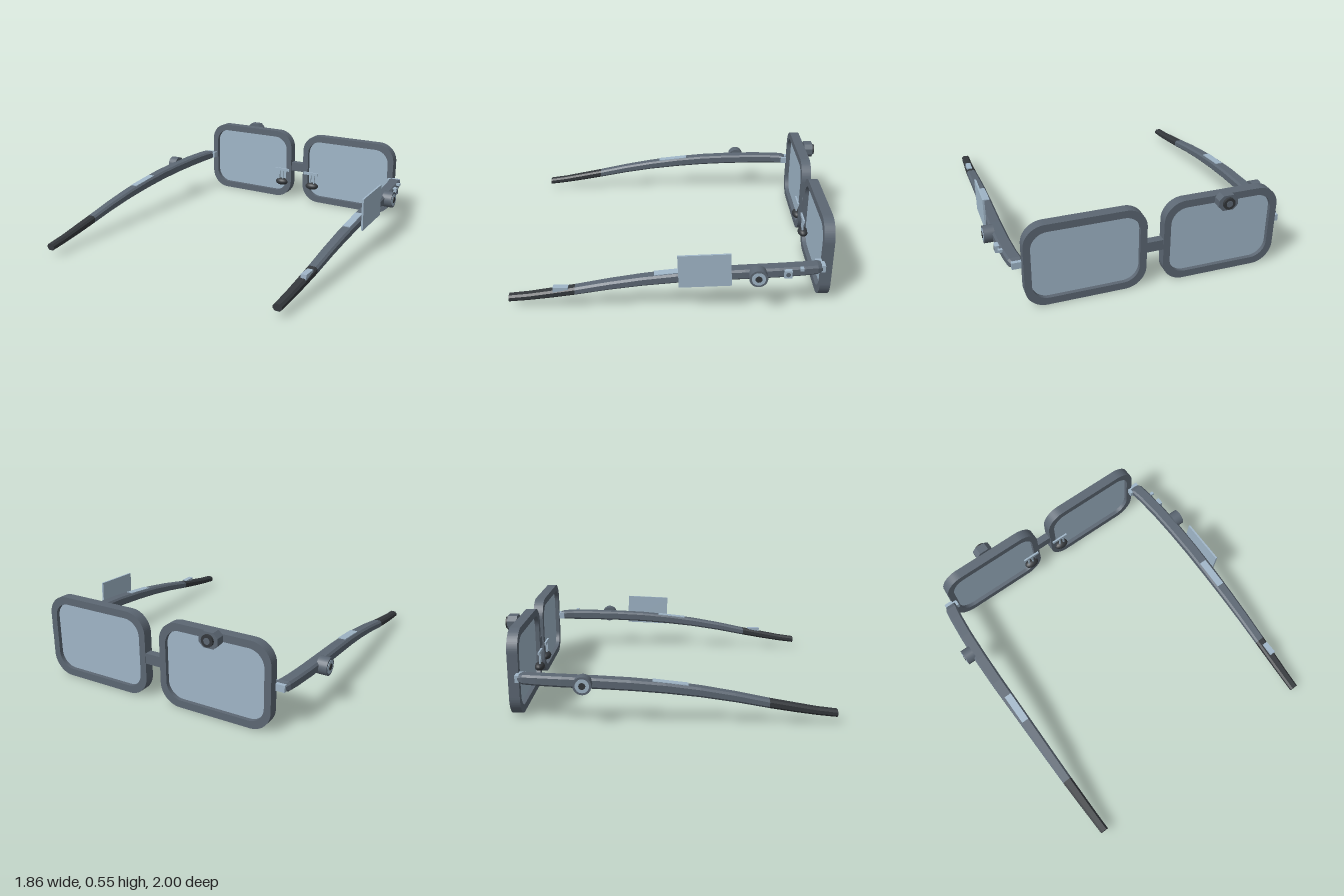
import * as THREE from 'three';

const material = (name, color) => {
  const m = new THREE.MeshStandardMaterial({ color });
  m.name = name;
  return m;
};

// Rounded rectangle outline, used for rims and lenses
function roundedRect(target, x0, y0, x1, y1, r) {
  target.moveTo(x0 + r, y0);
  target.lineTo(x1 - r, y0);
  target.absarc(x1 - r, y0 + r, r, -Math.PI / 2, 0, false);
  target.lineTo(x1, y1 - r);
  target.absarc(x1 - r, y1 - r, r, 0, Math.PI / 2, false);
  target.lineTo(x0 + r, y1);
  target.absarc(x0 + r, y1 - r, r, Math.PI / 2, Math.PI, false);
  target.lineTo(x0, y0 + r);
  target.absarc(x0 + r, y0 + r, r, Math.PI, Math.PI * 1.5, false);
  return target;
}

// Lofts chamfered rectangles along z; each section is [z, x, halfWidth, y, halfHeight]
function loft(sections, side) {
  const rings = sections.map(([z, x, w, y, h]) => {
    const c = 0.012;
    return [
      [w, -h + c], [w, h - c], [w - c, h], [-w + c, h],
      [-w, h - c], [-w, -h + c], [-w + c, -h], [w - c, -h],
    ].map(([dx, dy]) => [side * x + dx, y + dy, z]);
  });
  const out = [];
  const tri = (...points) => points.forEach((p) => out.push(...p));
  for (let i = 0; i < rings.length - 1; i++) {
    for (let j = 0; j < 8; j++) {
      const k = (j + 1) % 8;
      tri(rings[i][j], rings[i][k], rings[i + 1][k]);
      tri(rings[i][j], rings[i + 1][k], rings[i + 1][j]);
    }
  }
  const first = rings[0], last = rings[rings.length - 1];
  for (let j = 1; j < 7; j++) {
    tri(first[0], first[j + 1], first[j]);
    tri(last[0], last[j], last[j + 1]);
  }
  const g = new THREE.BufferGeometry();
  g.setAttribute('position', new THREE.Float32BufferAttribute(out, 3));
  g.computeVertexNormals();
  return g;
}

export function createModel() {
  const model = new THREE.Group();
  model.name = 'smartGlasses';
  const slate = material('slate grey', 0x5c6773);
  const dark = material('charcoal', 0x34383c);
  const pale = material('pale blue', 0xa0b6c8);

  const add = (name, geometry, mat, x = 0, y = 0, z = 0) => {
    const mesh = new THREE.Mesh(geometry, mat);
    mesh.name = name;
    mesh.position.set(x, y, z);
    model.add(mesh);
    return mesh;
  };
  const box = (name, mat, size, pos) => add(name, new THREE.BoxGeometry(...size), mat, ...pos);
  const disc = (name, mat, r, depth, pos, axis, sides = 24) => {
    const g = new THREE.CylinderGeometry(r, r, depth, sides);
    if (axis === 'x') g.rotateZ(Math.PI / 2);
    else g.rotateX(Math.PI / 2);
    return add(name, g, mat, ...pos);
  };

  const arm = [
    [-0.86, 0.803, 0.032, 0.265, 0.02],
    [-0.83, 0.808, 0.042, 0.265, 0.029],
    [-0.75, 0.82, 0.041, 0.263, 0.031],
    [-0.6, 0.832, 0.041, 0.259, 0.032],
    [-0.4, 0.839, 0.041, 0.252, 0.032],
    [-0.2, 0.841, 0.04, 0.241, 0.032],
    [0, 0.839, 0.038, 0.223, 0.031],
    [0.2, 0.837, 0.036, 0.198, 0.029],
    [0.4, 0.835, 0.034, 0.165, 0.027],
    [0.6, 0.832, 0.032, 0.125, 0.025],
  ];
  const tip = [
    arm[arm.length - 1],
    [0.75, 0.828, 0.03, 0.098, 0.024],
    [0.88, 0.824, 0.028, 0.076, 0.022],
    [1, 0.82, 0.027, 0.061, 0.021],
  ];

  for (const side of [1, -1]) {
    const prefix = side > 0 ? 'left' : 'right';
    const cx = side * 0.416;

    // Rim and lens
    const rimShape = roundedRect(new THREE.Shape(), -0.364, 0, 0.364, 0.53, 0.13);
    rimShape.holes.push(roundedRect(new THREE.Path(), -0.322, 0.046, 0.322, 0.484, 0.1));
    const rim = new THREE.ExtrudeGeometry(rimShape, { depth: 0.064, bevelEnabled: false, curveSegments: 10 });
    add(prefix + 'Rim', rim, slate, cx, 0, -0.927);
    const lensShape = roundedRect(new THREE.Shape(), -0.324, 0.044, 0.324, 0.486, 0.1);
    const lens = new THREE.ExtrudeGeometry(lensShape, { depth: 0.012, bevelEnabled: false, curveSegments: 10 });
    add(prefix + 'Lens', lens, pale, cx, 0, -0.902);

    // Nose pad on its bracket
    box(prefix + 'PadBar', pale, [0.12, 0.02, 0.012], [side * 0.125, 0.225, -0.857]);
    for (const x of [0.122, 0.152]) {
      box(prefix + 'PadLeg', pale, [0.011, 0.085, 0.01], [side * x, 0.18, -0.857]);
    }
    const pad = new THREE.SphereGeometry(1, 20, 12).scale(0.052, 0.028, 0.034);
    add(prefix + 'NosePad', pad, dark, side * 0.132, 0.125, -0.864);

    // Hinge
    box(prefix + 'HingePlate', pale, [0.075, 0.042, 0.024], [side * 0.798, 0.266, -0.864]);
    box(prefix + 'HingeTab', pale, [0.018, 0.042, 0.045], [side * 0.759, 0.266, -0.846]);

    // Temple arm, ear tip and the strip on top of the arm
    add(prefix + 'Temple', loft(arm, side), slate);
    add(prefix + 'EarTip', loft(tip, side), dark);
    const strip = box(prefix + 'TouchStrip', pale, [0.048, 0.009, 0.21], [side * 0.836, 0.2495, 0.025]);
    strip.rotation.x = 0.115;

    // Round dial on the outer face
    disc(prefix + 'Dial', slate, 0.054, 0.065, [side * 0.894, 0.256, -0.475], 'x');
    disc(prefix + 'DialFace', pale, 0.041, 0.006, [side * 0.926, 0.256, -0.475], 'x');
    disc(prefix + 'DialCentre', dark, 0.02, 0.006, [side * 0.929, 0.256, -0.475], 'x');
  }

  // Bridge
  box('bridge', slate, [0.125, 0.066, 0.05], [0, 0.257, -0.899]);

  // Camera on the outer side of the right rim
  const c = 0.028;
  const housing = new THREE.Shape([
    [0.06, -0.048 + c], [0.06, 0.048 - c], [0.06 - c, 0.048], [-0.06 + c, 0.048],
    [-0.06, 0.048 - c], [-0.06, -0.048 + c], [-0.06 + c, -0.048], [0.06 - c, -0.048],
  ].map((p) => new THREE.Vector2(...p)));
  add('cameraHousing', new THREE.ExtrudeGeometry(housing, { depth: 0.058, bevelEnabled: false }),
    slate, -0.422, 0.502, -0.983);
  disc('cameraBarrel', dark, 0.037, 0.02, [-0.422, 0.502, -0.988], 'z');
  disc('cameraLens', slate, 0.02, 0.004, [-0.422, 0.502, -0.998], 'z');

  // Display panel, button and indicator on the left arm
  const panel = box('displayPanel', pale, [0.012, 0.212, 0.31], [0.884, 0.287, -0.165]);
  panel.rotation.x = 0.045;
  box('sideButton', pale, [0.034, 0.046, 0.046], [0.873, 0.262, -0.65]);
  disc('sideButtonCap', slate, 0.014, 0.004, [0.891, 0.262, -0.65], 'x', 16);
  box('indicator', pale, [0.025, 0.018, 0.02], [0.87, 0.289, -0.73]);

  // Sensor on the left ear tip
  box('tipSensor', pale, [0.036, 0.035, 0.09], [0.838, 0.132, 0.685]);

  return model;
}
